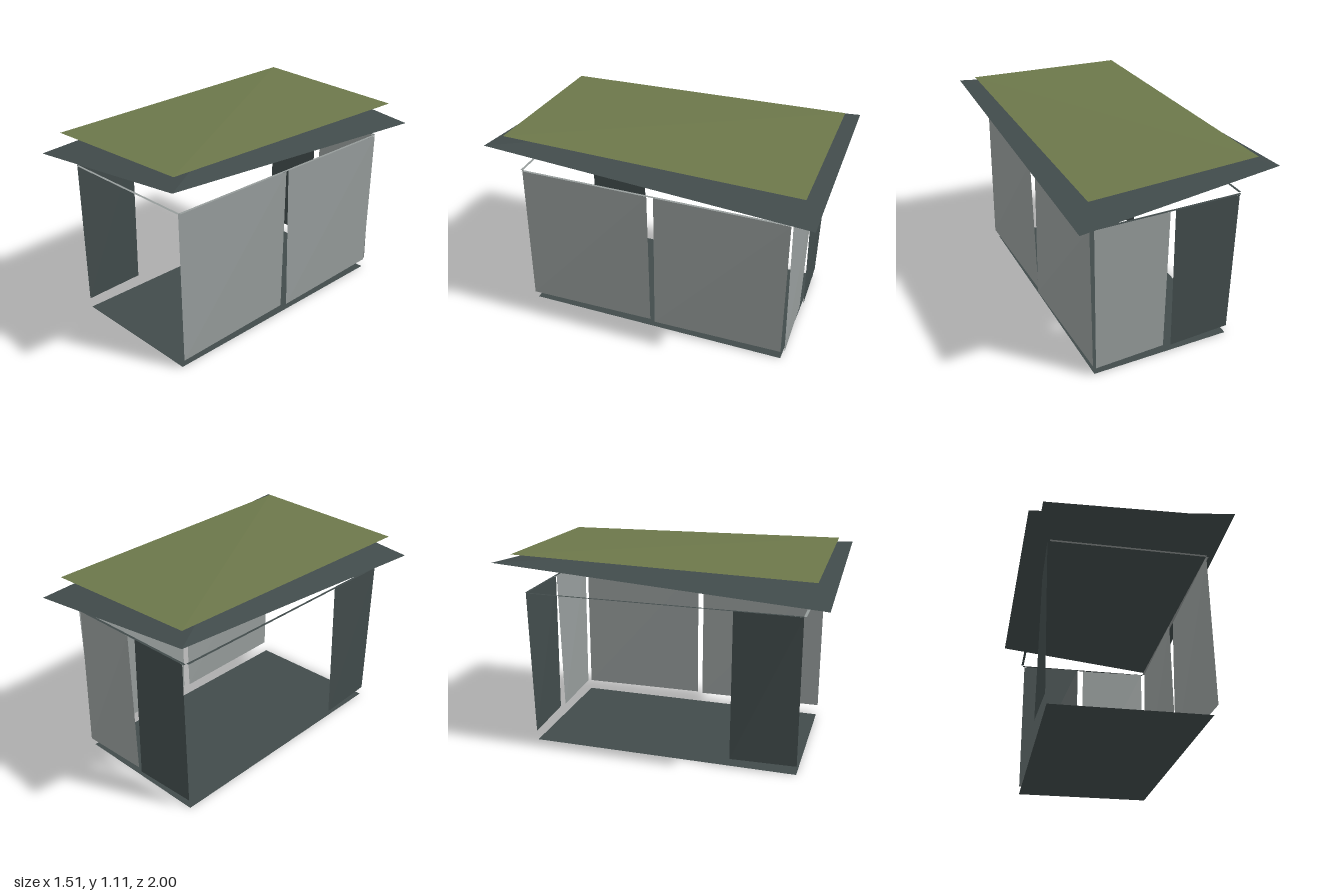
import * as THREE from 'three';

const mat = (name, color, side = THREE.FrontSide) => {
  const m = new THREE.MeshStandardMaterial({ color, side });
  m.name = name;
  return m;
};

// Four-cornered wedge: a ridge edge (a, b) on top, a crossing edge (c, d) below.
function wedge(a, b, c, d) {
  const [A, B, C, D] = [a, b, c, d].map((p) => new THREE.Vector3(...p));
  let faces = [[A, B, C], [B, A, D], [C, D, A], [D, C, B]];
  const volume = B.clone().sub(A).cross(C.clone().sub(A)).dot(D.clone().sub(A));
  if (volume > 0) faces = faces.map(([p, q, r]) => [p, r, q]);
  const g = new THREE.BufferGeometry().setFromPoints(faces.flat());
  g.addGroup(0, 6, 0); // upper faces
  g.addGroup(6, 6, 1); // lower faces
  g.computeVertexNormals();
  return g;
}

export function createModel() {
  const slate = mat('slate', 0x414b4b);
  const grey = mat('light grey', 0x959b9a);
  const green = mat('moss green', 0x6c774a);
  const slateSheet = mat('slate sheet', 0x414b4b, THREE.DoubleSide);
  const greySheet = mat('light grey sheet', 0x959b9a, THREE.DoubleSide);

  const model = new THREE.Group();
  model.name = 'shelter';
  const body = new THREE.Group();
  body.name = 'shelterBody';
  body.rotation.y = -0.277;
  model.add(body);

  const add = (name, geometry, material) => {
    const m = new THREE.Mesh(geometry, material);
    m.name = name;
    body.add(m);
    return m;
  };

  // Roof slabs
  const slab = (hx, hz, low, high) =>
    wedge([-hx, high, -hz], [hx, high, hz], [hx, low, -hz], [-hx, low, hz]);
  add('roof', slab(0.533, 0.889, 0.957, 1.073), [slate, slate]);
  add('roofCover', slab(0.457, 0.816, 1.075, 1.106), [green, slate]);

  // Flat sheets: floor and the thin headers above the walls
  const sheet = (name, w, d, x, y, z, material) => {
    const g = new THREE.PlaneGeometry(w, d).rotateX(-Math.PI / 2);
    add(name, g, material).position.set(x, y, z);
  };
  sheet('floor', 0.8, 1.5, 0, 0, 0, slateSheet);
  sheet('frontHeader', 0.82, 0.014, 0, 0.886, 0.757, greySheet);
  sheet('backHeader', 0.82, 0.014, 0, 0.886, -0.763, slateSheet);
  sheet('leftHeader', 0.014, 1.5, 0.415, 0.886, 0, greySheet);
  sheet('rightHeader', 0.014, 1.5, -0.415, 0.886, 0, slateSheet);

  // Wall panels, slightly twisted between top and bottom
  const T = 0.007, TOP = 0.885, BOTTOM = 0.053;
  const sidePanel = (name, x, z0, z1, m) => add(name, wedge(
    [x + T, TOP, z0], [x - T, TOP, z1], [x - T, BOTTOM, z0], [x + T, BOTTOM, z1]), [m, m]);
  const backPanel = (name, z, x0, x1, m) => add(name, wedge(
    [x0, TOP, z - T], [x1, TOP, z + T], [x0, BOTTOM, z + T], [x1, BOTTOM, z - T]), [m, m]);

  sidePanel('leftFrontPanel', 0.415, 0.017, 0.755, grey);
  sidePanel('leftRearPanel', 0.415, -0.75, -0.015, grey);
  sidePanel('rightFrontPanel', -0.415, 0.39, 0.752, slate);
  backPanel('backLeftPanel', -0.763, -0.002, 0.4, grey);
  backPanel('backRightPanel', -0.763, -0.4, -0.04, slate);

  return model;
}
